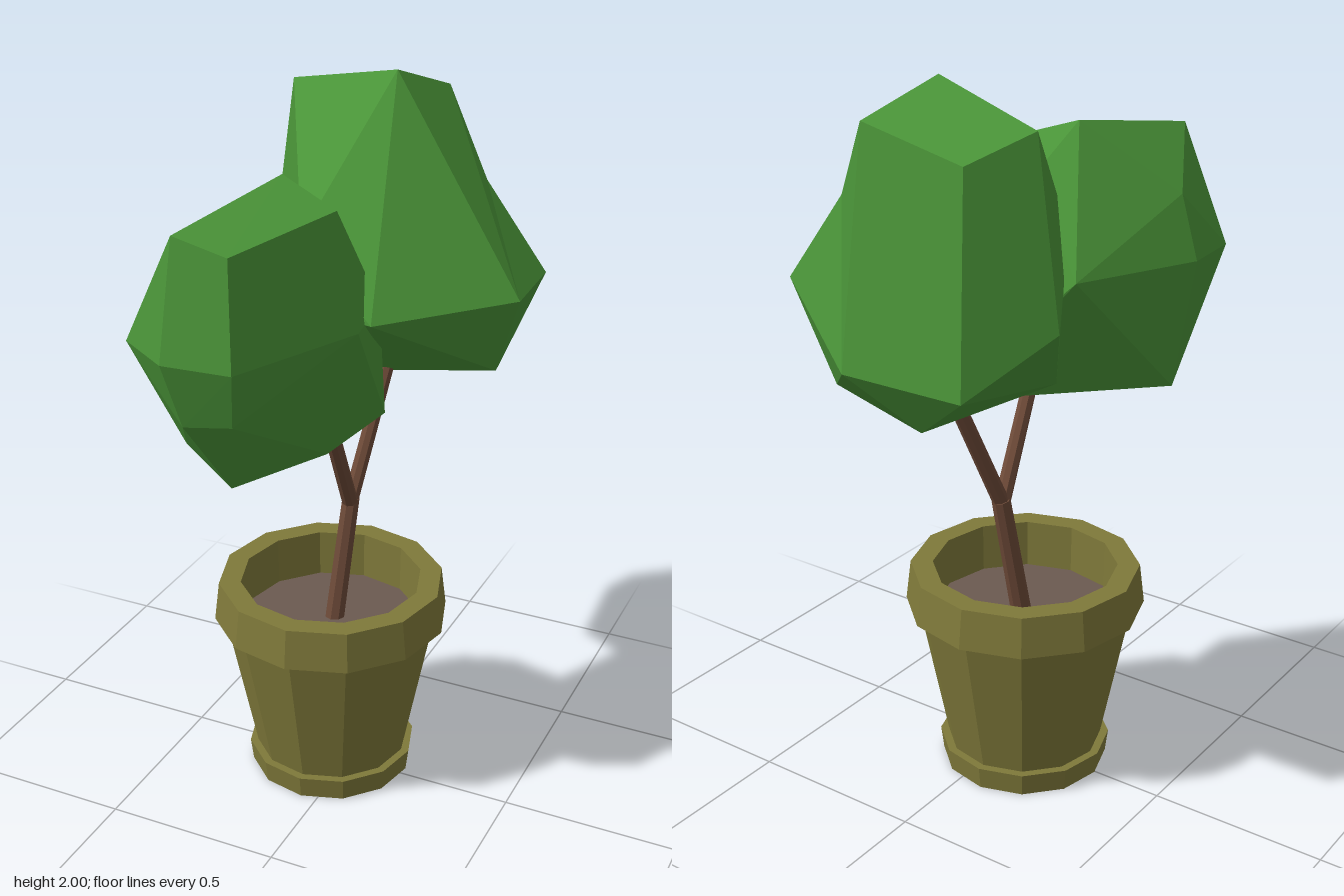
import * as THREE from 'three';
import { ConvexGeometry } from 'three/addons/geometries/ConvexGeometry.js';

const material = (name, color) => {
  const m = new THREE.MeshStandardMaterial({ color });
  m.name = name;
  return m;
};

// Split faces so every facet gets its own normal
function facet(geometry) {
  const g = geometry.toNonIndexed();
  g.computeVertexNormals();
  return g;
}

const vec = (p) => new THREE.Vector3(...p);

export function createModel() {
  const root = new THREE.Group();
  root.name = 'pottedTree';
  const clay = material('olive clay', 0x7f793a);
  const earth = material('soil brown', 0x6b5a50);
  const bark = material('bark brown', 0x6d4a38);
  const leaf = material('leaf green', 0x4a9438);

  const add = (parent, name, geometry, mat) => {
    const mesh = new THREE.Mesh(geometry, mat);
    mesh.name = name;
    parent.add(mesh);
    return mesh;
  };

  // Twelve-sided pot: foot ring, tapered body, overhanging rim, inner wall
  const pot = new THREE.Group();
  pot.name = 'pot';
  pot.position.set(-0.06, 0, -0.015);
  pot.rotation.y = THREE.MathUtils.degToRad(3);
  root.add(pot);
  const profile = [
    [0, 0], [0.235, 0], [0.243, 0.065], [0.22, 0.065],
    [0.305, 0.493], [0.334, 0.493], [0.32, 0.607],
    [0.258, 0.607], [0.255, 0.45],
  ].map(([r, y]) => new THREE.Vector2(r, y));
  add(pot, 'potShell', facet(new THREE.LatheGeometry(profile, 12)), clay);

  const soil = add(pot, 'soil', new THREE.CircleGeometry(0.257, 12), earth);
  soil.rotation.x = -Math.PI / 2;
  soil.position.y = 0.47;

  // Trunk and two branches as tapered limbs between points
  const limb = (name, from, to, r0, r1) => {
    const a = vec(from), b = vec(to);
    const dir = b.clone().sub(a);
    const mesh = add(root, name,
      facet(new THREE.CylinderGeometry(r1, r0, dir.length(), 8)), bark);
    mesh.position.copy(a).add(b).multiplyScalar(0.5);
    mesh.quaternion.setFromUnitVectors(new THREE.Vector3(0, 1, 0), dir.normalize());
  };
  const fork = [-0.035, 0.825, -0.095];
  limb('trunk', [-0.056, 0.45, -0.025], fork, 0.029, 0.026);
  limb('frontBranch', [-0.036, 0.81, -0.093], [-0.005, 1.13, 0.1], 0.023, 0.021);
  limb('backBranch', [-0.036, 0.81, -0.09], [0.005, 1.22, -0.28], 0.023, 0.021);

  // Faceted leaf masses, each the hull of a few corner points
  const crown = (name, corners) =>
    add(root, name, new ConvexGeometry(corners.map(vec)), leaf);

  // Corners shared by both halves of the back crown, which meet in a shallow notch
  const shared = [
    [0.226, 1.7, -0.4], [0.413, 1.46, -0.17], [0.135, 1.46, 0.155], [-0.413, 1.46, -0.39],
    [-0.277, 1.32, -0.593], [0.095, 1.31, -0.577], [-0.12, 1.46, 0.08],
  ];
  crown('backCrownTop', [
    ...shared,
    [0.012, 2.0, -0.28], [-0.337, 1.925, -0.372], [-0.24, 1.86, -0.524], [0.072, 1.92, -0.503],
    [-0.1, 1.64, 0.07],
  ]);
  crown('backCrownBase', [
    ...shared,
    [0.4, 1.46, -0.413],
    [0.333, 1.228, -0.23], [0.25, 1.2, -0.42], [-0.03, 1.15, -0.27],
    [-0.075, 1.165, -0.485], [-0.28, 1.25, -0.2],
  ]);

  crown('frontCrown', [
    // top facet
    [-0.104, 1.825, 0.16], [0.066, 1.767, 0.205], [-0.06, 1.73, 0.527], [-0.204, 1.767, 0.536],
    // shoulders
    [-0.327, 1.63, 0.318], [-0.315, 1.58, 0.46], [-0.03, 1.69, 0.063],
    // widest ring
    [-0.217, 1.46, 0.593], [-0.03, 1.46, 0.58], [0.126, 1.46, 0.21], [0.09, 1.46, 0.0],
    [-0.387, 1.46, 0.303], [-0.372, 1.46, 0.49], [-0.233, 1.46, -0.044],
    // underside
    [-0.06, 1.3, 0.53], [-0.196, 1.278, 0.534], [-0.325, 1.39, 0.49],
    [-0.16, 1.04, 0.365], [0.0, 1.068, 0.13], [-0.333, 1.1, 0.29],
    [0.06, 1.1, -0.11], [-0.06, 1.29, -0.09],
  ]);

  return root;
}
